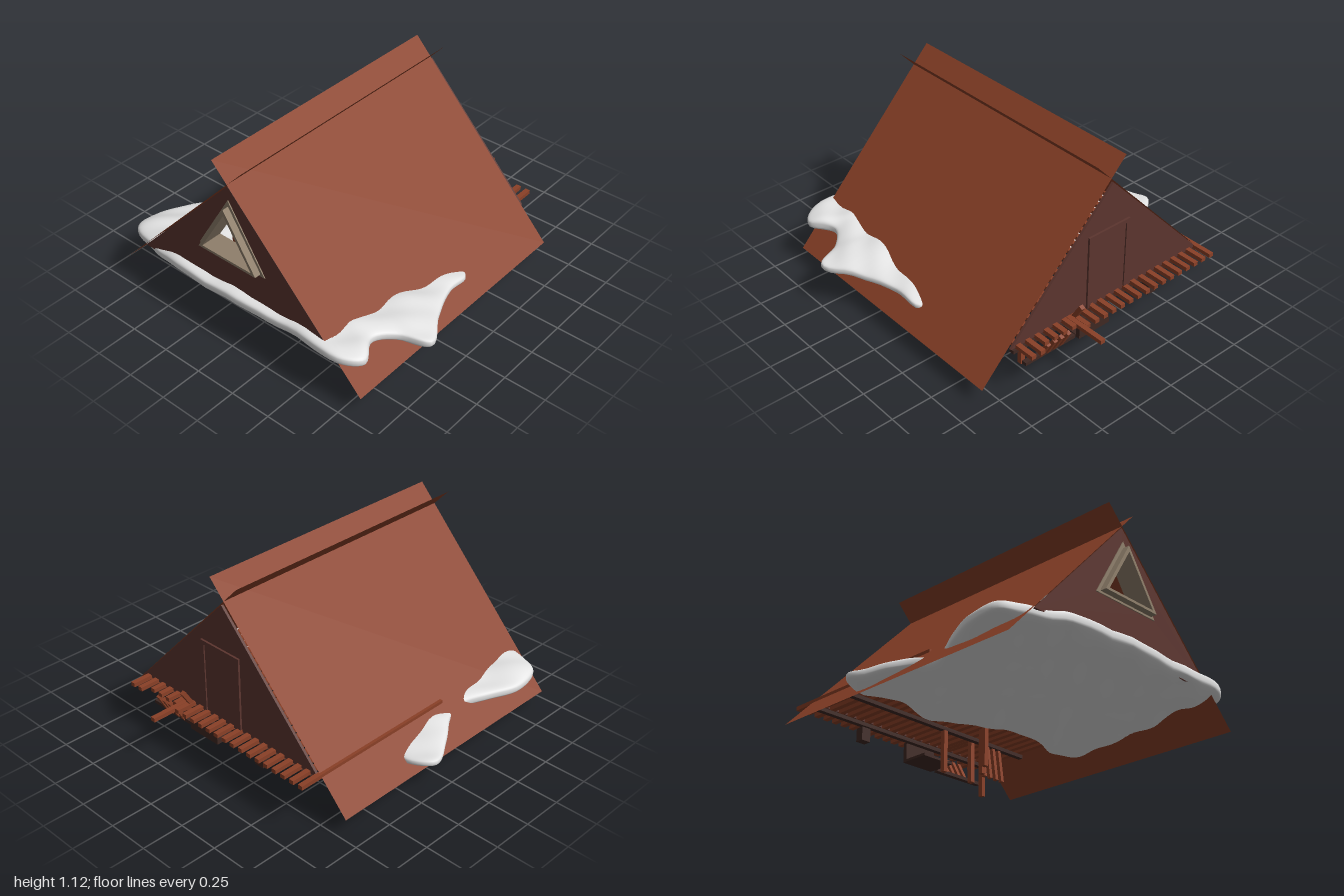
import * as THREE from 'three';
import { mergeVertices } from 'three/addons/utils/BufferGeometryUtils.js';

const mat = (name, color, side = THREE.FrontSide) => {
  const m = new THREE.MeshStandardMaterial({ color, side });
  m.name = name;
  return m;
};

export function createModel() {
  const model = new THREE.Group();
  const timber = mat('red brown timber', 0x8a4027);
  const roofing = mat('red brown roofing', 0x8a4027, THREE.DoubleSide);
  const wallPaint = mat('dark wall brown', 0x5c352f, THREE.DoubleSide);
  const darkWood = mat('dark wood', 0x3f2823);
  const framePaint = mat('tan frame', 0x8f7f6b);
  const snowWhite = mat('snow white', 0xe2e2e2);
  const CX = -0.03; // ridge line

  const add = (name, geo, material, x = 0, y = 0, z = 0, parent = model) => {
    const m = new THREE.Mesh(geo, material);
    m.name = name;
    m.position.set(x, y, z);
    parent.add(m);
    return m;
  };
  // Box given by its limits on each axis
  const block = (name, material, x0, x1, y0, y1, z0, z1, parent) =>
    add(name, new THREE.BoxGeometry(x1 - x0, y1 - y0, z1 - z0), material,
      (x0 + x1) / 2, (y0 + y1) / 2, (z0 + z1) / 2, parent);
  // Straight square post between two points
  const post = (name, material, a, b, w, parent) => {
    const from = new THREE.Vector3(...a), to = new THREE.Vector3(...b);
    const m = add(name, new THREE.BoxGeometry(w, from.distanceTo(to), w), material, 0, 0, 0, parent);
    m.position.copy(from).lerp(to, 0.5);
    m.quaternion.setFromUnitVectors(new THREE.Vector3(0, 1, 0), to.sub(from).normalize());
    return m;
  };
  // Upright triangle centred on the ridge
  const triangle = (half, base, apex, Type = THREE.Shape) => {
    const s = new Type();
    s.moveTo(CX - half, base);
    s.lineTo(CX + half, base);
    s.lineTo(CX, apex);
    s.closePath();
    return s;
  };
  const prism = (outer, hole, depth) => {
    if (hole) outer.holes.push(hole);
    return new THREE.ExtrudeGeometry(outer, { depth, bevelEnabled: false });
  };

  // Two thin roof sheets crossing above the ridge
  for (const side of [1, -1]) {
    const geo = new THREE.PlaneGeometry(1.408, 1.65);
    geo.rotateX(-Math.PI / 2);
    geo.rotateZ(-side * Math.atan2(1.02, 0.97));
    add(side > 0 ? 'leftRoof' : 'rightRoof', geo, roofing, CX + side * 0.385, 0.61, 0.105);
  }

  // Gable walls
  add('frontWall', prism(triangle(0.69, 0.28, 1.005),
    triangle(0.2, 0.56, 0.885, THREE.Path), 0.012), wallPaint, 0, 0, 0.915);
  add('backWall', prism(triangle(0.69, 0.28, 1.0), null, 0.015), wallPaint, 0, 0, -0.737);

  // Triangular window: flat trim and a deep projecting frame
  add('windowTrim', prism(triangle(0.235, 0.54, 0.92),
    triangle(0.205, 0.558, 0.885, THREE.Path), 0.008), framePaint, 0, 0, 0.925);
  add('windowFrame', prism(triangle(0.205, 0.552, 0.882),
    triangle(0.175, 0.567, 0.845, THREE.Path), 0.13), framePaint, 0, 0, 0.84);

  // White bunk with a timber frame behind the window
  const bunk = new THREE.Group();
  bunk.name = 'bunk';
  model.add(bunk);
  block('bunkBody', snowWhite, -0.15, 0.1, 0.3, 0.72, 0.45, 0.76, bunk);
  for (const x of [-0.15, 0.1])
    block('bunkPost', timber, x - 0.015, x + 0.015, 0.3, 0.68, 0.76, 0.79, bunk);
  post('bunkRail', timber, [-0.16, 0.68, 0.775], [0.12, 0.655, 0.775], 0.03, bunk);
  post('bunkLowerRail', timber, [-0.16, 0.53, 0.775], [0.12, 0.56, 0.775], 0.02, bunk);

  // Back door with a raised surround
  const door = new THREE.Group();
  door.name = 'door';
  model.add(door);
  block('doorLeaf', wallPaint, -0.135, 0.115, 0.28, 0.71, -0.741, -0.737, door);
  for (const x of [-0.145, 0.125])
    block('doorJamb', wallPaint, x - 0.012, x + 0.012, 0.28, 0.735, -0.749, -0.737, door);
  block('doorHead', wallPaint, -0.133, 0.113, 0.712, 0.735, -0.749, -0.737, door);

  // Floor boards running out past the back wall
  const deck = new THREE.Group();
  deck.name = 'deck';
  model.add(deck);
  for (let i = 0; i < 22; i++) {
    const x = -0.716 + i * 0.0633;
    const short = i > 15 && i < 20;
    block('floorBoard', timber, x - 0.015, x + 0.015, 0.272, 0.296, short ? -0.82 : -0.86,
      0.22 - 0.05 * (i % 3), deck);
  }
  for (const z of [-0.73, -0.45, -0.15])
    block('joist', darkWood, -0.71, 0.65, 0.25, 0.272, z - 0.015, z + 0.015, deck);
  block('longBoard', timber, 0.25, 0.28, 0.272, 0.296, -1, -0.5, deck);
  post('brokenBoard', timber, [0.235, 0.28, -0.75], [0.235, 0.38, -0.81], 0.025, deck);

  // Broken steps hanging below the deck
  const steps = new THREE.Group();
  steps.name = 'brokenSteps';
  model.add(steps);
  block('stepPanel', darkWood, 0, 0.22, 0.14, 0.26, -0.78, -0.755, steps);
  block('stepTread', darkWood, 0, 0.22, 0.14, 0.155, -0.78, -0.6, steps);
  block('stepBeam', darkWood, 0.22, 0.57, 0.13, 0.15, -0.75, -0.72, steps);
  block('sideBeam', darkWood, -0.36, -0.3, 0.17, 0.25, -0.78, -0.73, steps);
  for (let i = 0; i < 4; i++) {
    const x = 0.32 + i * 0.047;
    post('stepSlat', timber, [x, 0.25, -0.8], [x, 0.14, -0.74], 0.024, steps);
    post('hangingSlat', timber, [x, 0.27, -0.46], [x, 0.05, -0.43], 0.022, steps);
  }

  // Support legs
  const legs = [[0.015, -0.45, 0], [0.11, -0.22, 0], [0.19, -0.32, 0], [0.25, -0.47, 0.02], [0.47, -0.6, -0.01]];
  for (const [x, z, lean] of legs)
    post('leg', timber, [x, 0.004, z], [x + lean, 0.275, z - lean], 0.028);

  // Snow bank: a sphere flattened to an uneven outline, sloping down to the back
  const rim = [[-0.76, 0.32], [-0.84, 0.5], [-0.91, 0.68], [-0.88, 0.85], [-0.68, 0.92], [-0.45, 0.965],
    [0, 0.98], [0.4, 0.96], [0.72, 0.96], [0.82, 0.87], [0.74, 0.72], [0.82, 0.6], [0.97, 0.52],
    [0.86, 0.32], [0.77, 0.1], [0.75, -0.07], [0.6, -0.14], [0.35, -0.06], [0, -0.1], [-0.3, -0.22],
    [-0.6, -0.16], [-0.85, -0.2], [-0.98, -0.12], [-0.9, 0.06], [-0.8, 0.21]];
  const outline = new THREE.CatmullRomCurve3(rim.map(([x, z]) => new THREE.Vector3(x, 0, z)), true);
  const snow = new THREE.SphereGeometry(1, 144, 56);
  const pos = snow.attributes.position, uv = snow.attributes.uv;
  const p = new THREE.Vector3();
  const lumps = (x, z) => 0.5 * Math.sin(15 * x + 4 * z + 2 * Math.sin(5 * z))
    + 0.5 * Math.sin(19 * z - 6 * x + 1.5 * Math.sin(7 * x)) + 0.4 * Math.sin(27 * x + 23 * z);
  for (let i = 0; i < pos.count; i++) {
    const polar = (1 - uv.getY(i)) * Math.PI;
    const r = Math.pow(Math.max(Math.sin(polar), 0), 0.8);
    outline.getPoint(((uv.getX(i) % 1) + 1) % 1, p);
    const x = p.x * r, z = 0.4 + (p.z - 0.4) * r;
    const up = Math.cos(polar);
    const thick = 0.055 + 0.018 * z;
    const bulge = Math.sign(up) * Math.pow(Math.abs(up), 0.6);
    const y = 0.205 + 0.115 * z + 0.02 * x - 0.04 * x * x * Math.max(z, 0)
      + thick * bulge + 0.015 * lumps(x, z) * (0.4 + 0.6 * Math.abs(up));
    pos.setXYZ(i, x, y, z);
  }
  snow.deleteAttribute('uv');
  snow.deleteAttribute('normal');
  const bank = mergeVertices(snow, 1e-5);
  bank.computeVertexNormals();
  add('snowBank', bank, snowWhite);

  return model;
}
